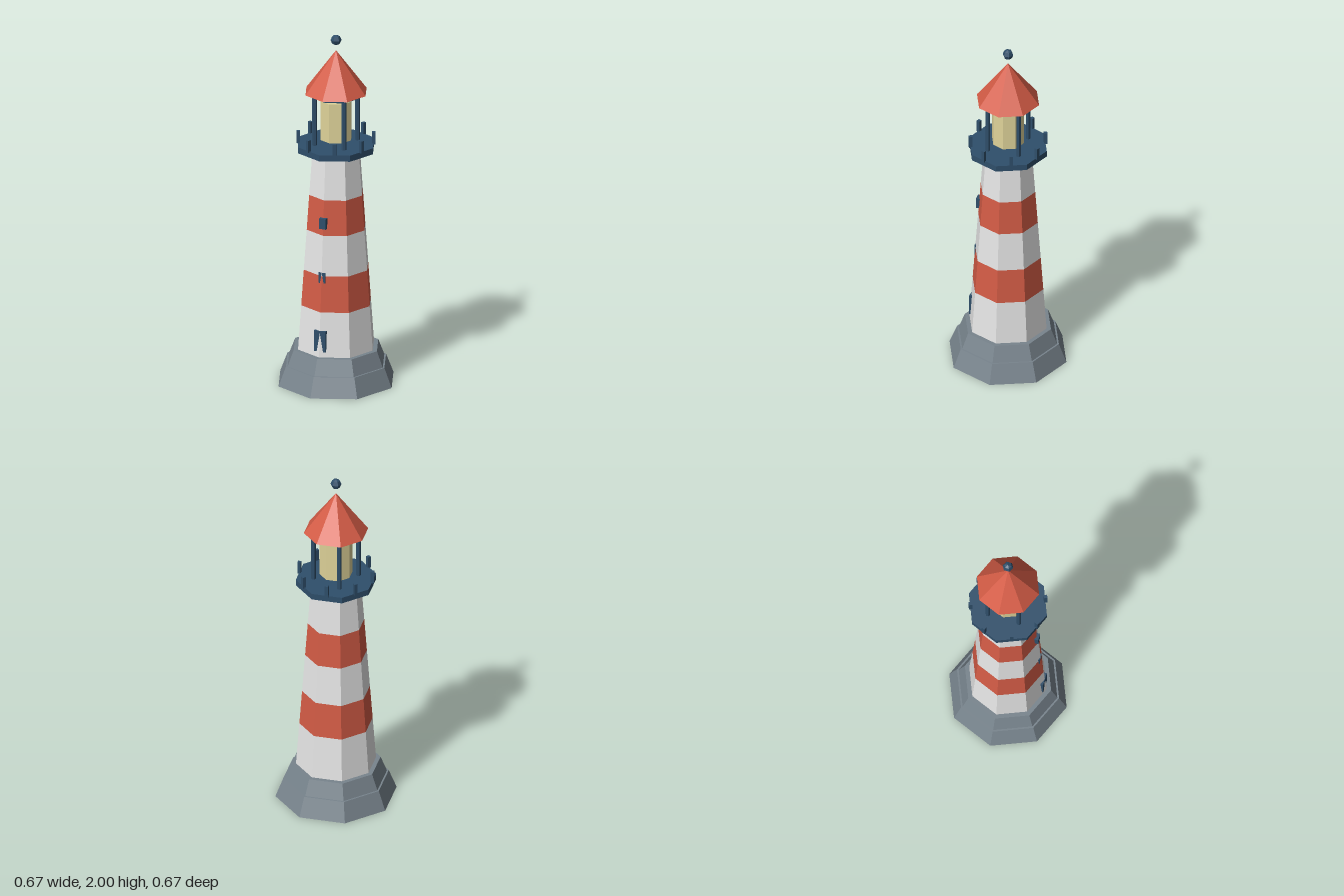
import * as THREE from 'three';

function material(name, color) {
  const m = new THREE.MeshStandardMaterial({ color });
  m.name = name;
  return m;
}

export function createModel() {
  const white = material('white', 0xe8e8e8);
  const red = material('red', 0xd45c46);
  const navy = material('navy', 0x2f4f6b);
  const stone = material('stone grey', 0x78848d);
  const glow = material('lamp yellow', 0xe0d49a);

  const model = new THREE.Group();
  model.name = 'lighthouse';

  function add(name, geometry, mat, x = 0, y = 0, z = 0, turn = 0) {
    const flat = geometry.index ? geometry.toNonIndexed() : geometry;
    flat.computeVertexNormals();
    const mesh = new THREE.Mesh(flat, mat);
    mesh.name = name;
    mesh.position.set(x, y, z);
    mesh.rotation.y = turn;
    model.add(mesh);
    return mesh;
  }

  // Octagonal frustum between two heights, corners on the x and z axes
  function octagon(name, mat, y0, y1, r0, r1, open = false) {
    const g = new THREE.CylinderGeometry(r1, r0, y1 - y0, 8, 1, open);
    return add(name, g, mat, 0, (y0 + y1) / 2, 0);
  }

  // Stepped stone base
  octagon('lowerBase', stone, 0, 0.11, 0.333, 0.29);
  octagon('upperBase', stone, 0.11, 0.2, 0.28, 0.245);

  // Tapered tower in alternating bands
  const levels = [0.2, 0.455, 0.66, 0.89, 1.09, 1.34];
  const towerRadius = (y) => 0.22 - ((y - 0.2) / 1.14) * 0.083;
  for (let i = 0; i < levels.length - 1; i++) {
    const [y0, y1] = [levels[i], levels[i + 1]];
    octagon(i % 2 ? 'redBand' : 'whiteBand', i % 2 ? red : white,
      y0, y1, towerRadius(y0), towerRadius(y1), true);
  }

  // Door and windows, partly sunk into the front corner: half width, y range, front z
  const openings = [
    ['door', 0.035, 0.23, 0.35, 0.21],
    ['lowerWindow', 0.02, 0.62, 0.68, 0.185],
    ['upperWindow', 0.02, 0.93, 0.99, 0.177],
  ];
  for (const [name, w, y0, y1, front] of openings) {
    add(name, new THREE.BoxGeometry(w * 2, y1 - y0, 0.03), navy, 0, (y0 + y1) / 2, front - 0.015);
  }

  // Gallery deck with short posts at the middle of each side
  octagon('galleryDeck', navy, 1.34, 1.375, 0.221, 0.221);
  for (let i = 0; i < 8; i++) {
    const a = ((i + 0.5) * Math.PI) / 4;
    add('galleryPost', new THREE.BoxGeometry(0.019, 0.07, 0.019), navy,
      Math.sin(a) * 0.205, 1.405, Math.cos(a) * 0.205, a);
  }

  // Lamp room: glowing core, four columns and a cap plate
  octagon('lamp', glow, 1.4, 1.625, 0.09, 0.09);
  for (let i = 0; i < 4; i++) {
    const a = ((i + 0.5) * Math.PI) / 2;
    add('lampColumn', new THREE.CylinderGeometry(0.013, 0.013, 0.285, 6), navy,
      Math.sin(a) * 0.124, 1.5125, Math.cos(a) * 0.124);
  }
  octagon('capPlate', navy, 1.65, 1.667, 0.138, 0.138);

  // Pointed roof and floating finial
  add('roof', new THREE.ConeGeometry(0.177, 0.24, 8), red, 0, 1.79, 0);
  add('finial', new THREE.SphereGeometry(0.03, 6, 4), navy, 0, 1.97, 0, Math.PI / 6);

  return model;
}
